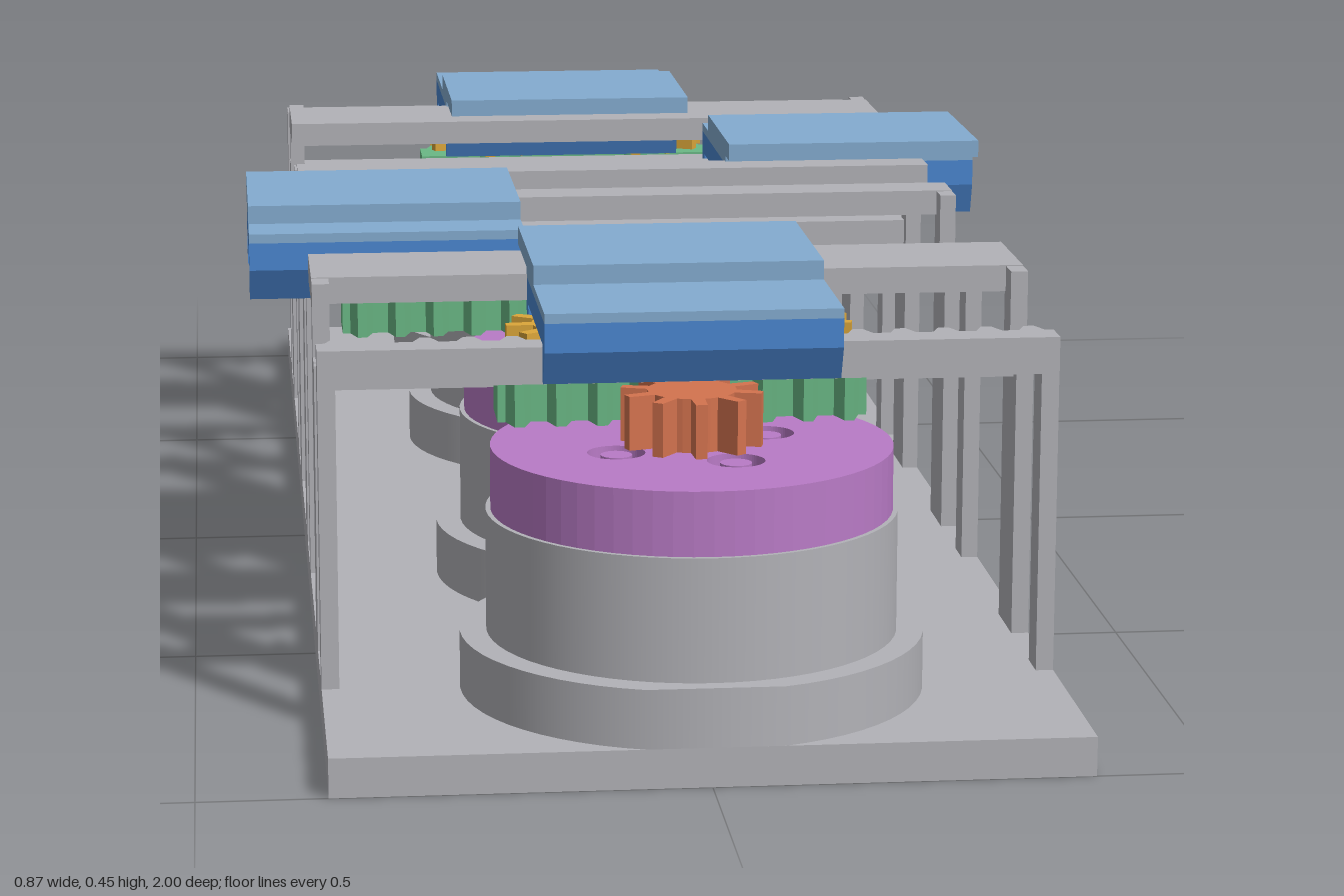
import * as THREE from 'three';

const mat = (name, color) => {
  const m = new THREE.MeshStandardMaterial({ color });
  m.name = name;
  return m;
};

export function createModel() {
  const grey = mat('frame grey', 0xb2b2b7);
  const purple = mat('motor cap purple', 0xb97bc6);
  const orange = mat('pinion orange', 0xd4734f);
  const green = mat('carriage green', 0x6bb986);
  const yellow = mat('gear yellow', 0xdba63a);
  const blue = mat('slider blue', 0x4a86d0);
  const lightBlue = mat('platform light blue', 0x84acd0);

  const add = (parent, name, geometry, material) => {
    const mesh = new THREE.Mesh(geometry, material);
    mesh.name = name;
    parent.add(mesh);
    return mesh;
  };
  // Box given by its limits on each axis
  const box = (x0, x1, y0, y1, z0, z1) =>
    new THREE.BoxGeometry(x1 - x0, y1 - y0, z1 - z0)
      .translate((x0 + x1) / 2, (y0 + y1) / 2, (z0 + z1) / 2);
  const cyl = (r, y0, y1, seg = 48) =>
    new THREE.CylinderGeometry(r, r, y1 - y0, seg).translate(0, (y0 + y1) / 2, 0);
  // Horizontal plate from an outline drawn in (x, -z)
  const plate = (shape, y0, y1) =>
    new THREE.ExtrudeGeometry(shape, { depth: y1 - y0, bevelEnabled: false, curveSegments: 32 })
      .rotateX(-Math.PI / 2).translate(0, y0, 0);

  // Spur gear with tapered teeth
  const gear = (teeth, root, outer, y0, y1) => {
    const pts = [];
    for (let i = 0; i < teeth; i++) {
      for (const [f, r] of [[0, root], [0.3, root], [0.42, outer], [0.68, outer], [0.8, root]]) {
        const a = ((i + f) / teeth) * Math.PI * 2;
        pts.push(new THREE.Vector2(r * Math.cos(a), r * Math.sin(a)));
      }
    }
    return plate(new THREE.Shape(pts), y0, y1);
  };

  // Row of teeth: flat back at zBack, teeth from zRoot to zTip
  const rack = (x0, x1, y0, y1, zBack, zRoot, zTip) => {
    const n = Math.round((x1 - x0) / 0.044), p = (x1 - x0) / n;
    const pts = [[x0, -zBack]];
    for (let i = 0; i < n; i++) {
      const x = x0 + i * p;
      pts.push([x, -zRoot], [x + p * 0.2, -zRoot], [x + p * 0.38, -zTip],
        [x + p * 0.62, -zTip], [x + p * 0.8, -zRoot]);
    }
    pts.push([x1, -zRoot], [x1, -zBack]);
    return plate(new THREE.Shape(pts.map(([x, y]) => new THREE.Vector2(x, y))), y0, y1);
  };

  const W = 0.375; // half width of the frame
  const LEG = 0.018; // leg thickness

  // One drive unit, motor axis at the local origin, mechanism toward -z
  const unit = ({ z, flip, travel, turn, shelf, platform }) => {
    const g = new THREE.Group();
    g.name = 'driveUnit';
    g.position.z = z;
    if (flip) g.rotation.y = Math.PI;

    // Motor with its holder; the holder is trimmed flush with the base edge
    const collar = cyl(0.235, 0.04, 0.1, 64);
    const p = collar.attributes.position;
    for (let i = 0; i < p.count; i++) p.setZ(i, Math.min(p.getZ(i), 0.225));
    add(g, 'motorHolder', collar, grey);
    add(g, 'motorBody', cyl(0.208, 0.1, 0.225, 64), grey);
    const cap = new THREE.Shape().absarc(0, 0, 0.203, 0, Math.PI * 2);
    for (let i = 0; i < 4; i++) {
      const a = turn + i * Math.PI / 2, x = 0.087 * Math.cos(a), y = 0.087 * Math.sin(a);
      cap.holes.push(new THREE.Path().absarc(x, y, 0.029, 0, Math.PI * 2, true));
      add(g, 'capScrew', cyl(0.016, 0.225, 0.288, 16), purple).position.set(x, 0, -y);
    }
    add(g, 'motorCap', plate(cap, 0.225, 0.29), purple);
    add(g, 'pinion', gear(10, 0.045, 0.072, 0.29, 0.345), orange);

    // Fixed rack, guide beam and shelf with their legs
    add(g, 'fixedRack', rack(-W, W, 0.352, 0.39, -0.005, -0.042, -0.062), grey);
    add(g, 'guideBeam', box(-W, W, 0.315, 0.345, -0.205, -0.16), grey);
    add(g, 'shelf', box(-W, W, 0.395, 0.423, shelf[0], shelf[1]), grey);
    for (const s of [-1, 1]) {
      const x0 = s > 0 ? W - LEG : -W, x1 = x0 + LEG;
      add(g, 'rackLeg', box(x0, x1, 0.04, 0.389, -0.045, -0.006), grey);
      add(g, 'guideLeg', box(x0, x1, 0.04, 0.344, -0.22, -0.145), grey);
      add(g, 'shelfLeg', box(x0, x1, 0.34, 0.422, -0.22, -0.185), grey);
    }

    // Carriage rack carrying two idler gears; it moves half the slider's travel
    const carriage = new THREE.Group();
    carriage.name = 'carriage';
    carriage.position.x = travel / 2;
    g.add(carriage);
    add(carriage, 'carriageRack', rack(-0.19, 0.19, 0.295, 0.345, -0.145, -0.085, -0.06), green);
    for (const x of [-0.095, 0.095]) {
      add(carriage, 'axle', cyl(0.03, 0.34, 0.393, 24), green).position.set(x, 0, -0.122);
      add(carriage, 'idlerGear', gear(11, 0.057, 0.084, 0.353, 0.39), yellow).position.set(x, 0, -0.122);
    }

    // Slider: channel section along x with slanted skirts
    const slider = new THREE.Group();
    slider.name = 'slider';
    slider.position.x = travel;
    g.add(slider);
    const section = new THREE.Shape([
      [0.025, 0.42], [-0.22, 0.42], [-0.22, 0.39], [-0.208, 0.355], [-0.196, 0.355],
      [-0.196, 0.394], [0, 0.394], [0, 0.355], [0.008, 0.355], [0.025, 0.39],
    ].map(([a, b]) => new THREE.Vector2(-a, b)));
    add(slider, 'sliderChannel',
      new THREE.ExtrudeGeometry(section, { depth: 0.3, bevelEnabled: false })
        .rotateY(Math.PI / 2).translate(-0.15, 0, 0), blue);
    const teeth = rack(-0.15, 0.15, 0.357, 0.39, 0.206, 0.196, 0.18);
    add(slider, 'sliderTeeth', teeth.rotateY(Math.PI), blue);
    add(slider, 'sliderTop', box(-0.15, 0.15, 0.42, 0.43, -0.22, 0.025), lightBlue);
    add(slider, 'platform', box(-0.15, 0.15, 0.43, 0.45, platform[0], platform[1]), lightBlue);
    return g;
  };

  const model = new THREE.Group();
  model.name = 'rackAndPinionStage';
  const body = new THREE.Group();
  body.name = 'assembly';
  body.position.x = 0.003;
  model.add(body);
  add(body, 'basePlate', box(-W, W, 0, 0.04, -1, 1), grey);

  const outer = { shelf: [-0.345, -0.215], platform: [-0.345, -0.122] };
  const inner = { shelf: [-0.265, -0.212], platform: [-0.258, -0.037] };
  body.add(
    unit({ z: 0.775, travel: 0, turn: -1.15, ...outer }),
    unit({ z: 0.325, travel: -0.287, turn: -0.47, ...inner }),
    unit({ z: -0.325, flip: true, travel: -0.287, turn: -0.47, ...inner }),
    unit({ z: -0.775, flip: true, travel: 0.023, turn: -1.3, ...outer }),
  );
  return model;
}
